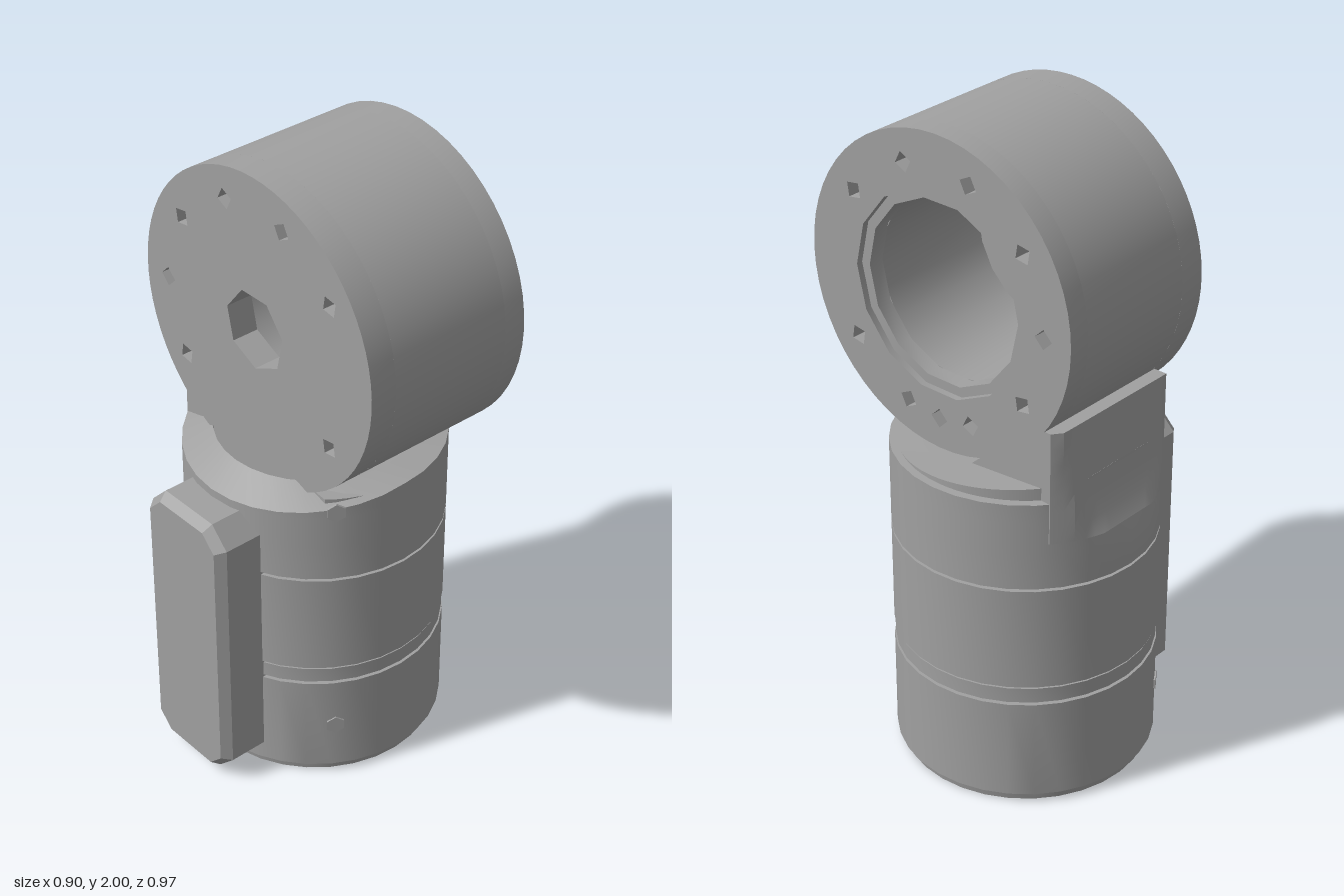
import * as THREE from 'three';
import { toCreasedNormals } from 'three/addons/utils/BufferGeometryUtils.js';

const metal = new THREE.MeshStandardMaterial({ color: 0xa0a0a0 });
metal.name = 'grey metal';

const RING_Y = 1.525, RING_Z = 0.012, RING_R = 0.475;
const BODY_X = 0.055, BODY_Z = -0.092, BODY_R = 0.393;
const { degToRad: rad, clamp, lerp } = THREE.MathUtils;

function add(group, name, geometry, x = 0, y = 0, z = 0) {
  const mesh = new THREE.Mesh(toCreasedNormals(geometry, 0.5), metal);
  mesh.name = name;
  mesh.position.set(x, y, z);
  group.add(mesh);
  return mesh;
}

function polygonHole(r, sides, cx = 0, cy = 0, turn = 0) {
  const points = [];
  for (let i = 0; i < sides; i++) {
    const a = turn + (i / sides) * Math.PI * 2;
    points.push(new THREE.Vector2(cx + r * Math.cos(a), cy + r * Math.sin(a)));
  }
  return new THREE.Path(points);
}

function disc(r) {
  return new THREE.Shape().absarc(0, 0, r, 0, Math.PI * 2);
}

function screwHoles(shape, angles) {
  angles.forEach((a) => shape.holes.push(
    polygonHole(0.03, 4, 0.38 * Math.cos(rad(a)), 0.38 * Math.sin(rad(a)), rad(a))));
}

// Extrude along x; the shape's own x axis points to -z
function alongX(shape, depth) {
  return new THREE.ExtrudeGeometry(shape, { depth, bevelEnabled: false, curveSegments: 28 })
    .rotateY(Math.PI / 2);
}

function lathe(profile) {
  return new THREE.LatheGeometry(profile.map(([r, y]) => new THREE.Vector2(r, y)), 32);
}

// Move every vertex by a rule
function reshape(geometry, rule) {
  const p = geometry.attributes.position;
  const v = new THREE.Vector3();
  for (let i = 0; i < p.count; i++) {
    v.fromBufferAttribute(p, i);
    rule(v);
    p.setXYZ(i, v.x, v.y, v.z);
  }
  return geometry;
}

// Rearmost z, in body space, of the flattened back at a given height
function backLimit(y) {
  if (y < 0.97) return lerp(-BODY_R, -0.346, clamp((y - 0.87) / 0.1, 0, 1));
  return lerp(-0.346, -0.326, (y - 0.97) / 0.28);
}

function buildRing() {
  const ring = new THREE.Group();
  ring.name = 'jointRing';
  ring.position.set(0, RING_Y, RING_Z);

  // Main drum with its wide bore
  const drum = disc(RING_R);
  drum.holes.push(polygonHole(0.275, 20));
  add(ring, 'drum', alongX(drum, 0.4), -0.165);

  // Open face with a stepped bore and screw holes
  const face = disc(RING_R);
  face.holes.push(polygonHole(0.305, 14));
  screwHoles(face, [0, 36, 72, 108, 144, 216, 252, 270, 288, 324]);
  add(ring, 'openFace', alongX(face, 0.07), 0.235);
  const lip = disc(0.307);
  lip.holes.push(polygonHole(0.275, 14));
  add(ring, 'boreLip', alongX(lip, 0.05), 0.235);

  // End plate with a faceted hole and a notch underneath
  const plate = new THREE.Shape();
  plate.absarc(0, 0, RING_R, rad(-63), rad(243));
  plate.lineTo(-0.15, -0.4);
  plate.lineTo(0.15, -0.4);
  plate.closePath();
  plate.holes.push(polygonHole(0.12, 7, 0, 0, rad(-90)));
  screwHoles(plate, [0, 36, 72, 108, 144, 216, 324]);
  add(ring, 'endPlate', alongX(plate, 0.085), -0.25);
  return ring;
}

function buildBody() {
  const body = new THREE.Group();
  body.name = 'body';
  body.position.set(BODY_X, 0, BODY_Z);

  // Stacked sleeves separated by grooves, hollow at the base
  const R = BODY_R;
  add(body, 'sleeves', lathe([
    [0, 0.22], [0.225, 0.22], [0.225, 0], [0.376, 0], [0.382, 0.03], [R, 0.03],
    [R, 0.354], [0.36, 0.354], [0.36, 0.362], [R - 0.003, 0.362],
    [R - 0.003, 0.41], [0.36, 0.41], [0.36, 0.417], [R, 0.417],
    [R, 0.745], [0.36, 0.745], [0.36, 0.754],
  ]));

  // Open collar: chamfered on its right rim, flattened at the back
  const collar = lathe([
    [0.36, 0.754], [R, 0.754], [R, 0.87], [R, 0.97], [R, 1.028],
    [0.3, 1.036], [0.3, 0.9], [0, 0.9],
  ]);
  add(body, 'collar', reshape(collar, (v) => {
    if (v.y > 1.02 && v.y < 1.03) v.y -= 0.05 * clamp(-v.x / R, 0, 1);
    v.z = Math.max(v.z, backLimit(v.y));
  }));

  // Deck beneath the drum, rising gently toward the back
  const cut = Math.acos(-0.22 / 0.37);
  const deck = new THREE.Shape().absarc(0, 0, 0.37, -cut, cut);
  deck.closePath();
  const slab = new THREE.ExtrudeGeometry(deck, { depth: 0.13, bevelEnabled: false, curveSegments: 24 })
    .rotateX(-Math.PI / 2).translate(0, 0.9, 0);
  add(body, 'deck', reshape(slab, (v) => {
    if (v.y > 1) v.y += 0.08 * (0.2 - v.z);
    v.z = Math.max(v.z, -0.34);
  }));

  // Rear web: its back follows the body, its front leans under the drum
  const web = new THREE.BoxGeometry(0.47, 0.35, 1, 16, 7, 1).translate(0.07 - BODY_X, 1.075, 0);
  add(body, 'rearWeb', reshape(web, (v) => {
    if (v.z < 0) v.z = Math.max(-Math.sqrt(R * R - v.x * v.x), backLimit(v.y)) - 0.001;
    else v.z = lerp(-0.02, -0.285, clamp((v.y - 1.06) / 0.19, 0, 1));
  }));

  // Small screws around the sleeves
  [[-32, 0.19], [-32, 0.99], [215, 0.19]].forEach(([angle, y]) => {
    const a = rad(angle);
    const screw = new THREE.CylinderGeometry(0.03, 0.03, 0.008, 6).rotateX(Math.PI / 2);
    add(body, 'screw', screw, R * Math.sin(a), y, R * Math.cos(a)).rotation.y = a;
  });
  return body;
}

// Chamfered side housing, built facing +z and turned to -x
function buildHousing() {
  const w = 0.147, h = 0.44, c = 0.05;
  const outline = [[-w + c, -h], [w - c, -h], [w, -h + c], [w, h - c], [w - c, h], [-w + c, h], [-w, h - c], [-w, -h + c]];
  const shape = new THREE.Shape(outline.map(([x, y]) => new THREE.Vector2(x, y)));
  return new THREE.ExtrudeGeometry(shape, {
    depth: 0.17, bevelEnabled: true, bevelSegments: 1, bevelSize: 0.022, bevelThickness: 0.03,
  }).rotateY(-Math.PI / 2);
}

export function createModel() {
  const model = new THREE.Group();
  model.name = 'jointLink';
  model.add(buildRing(), buildBody());
  add(model, 'sideHousing', buildHousing(), -0.25, 0.49, -0.092);
  return model;
}
